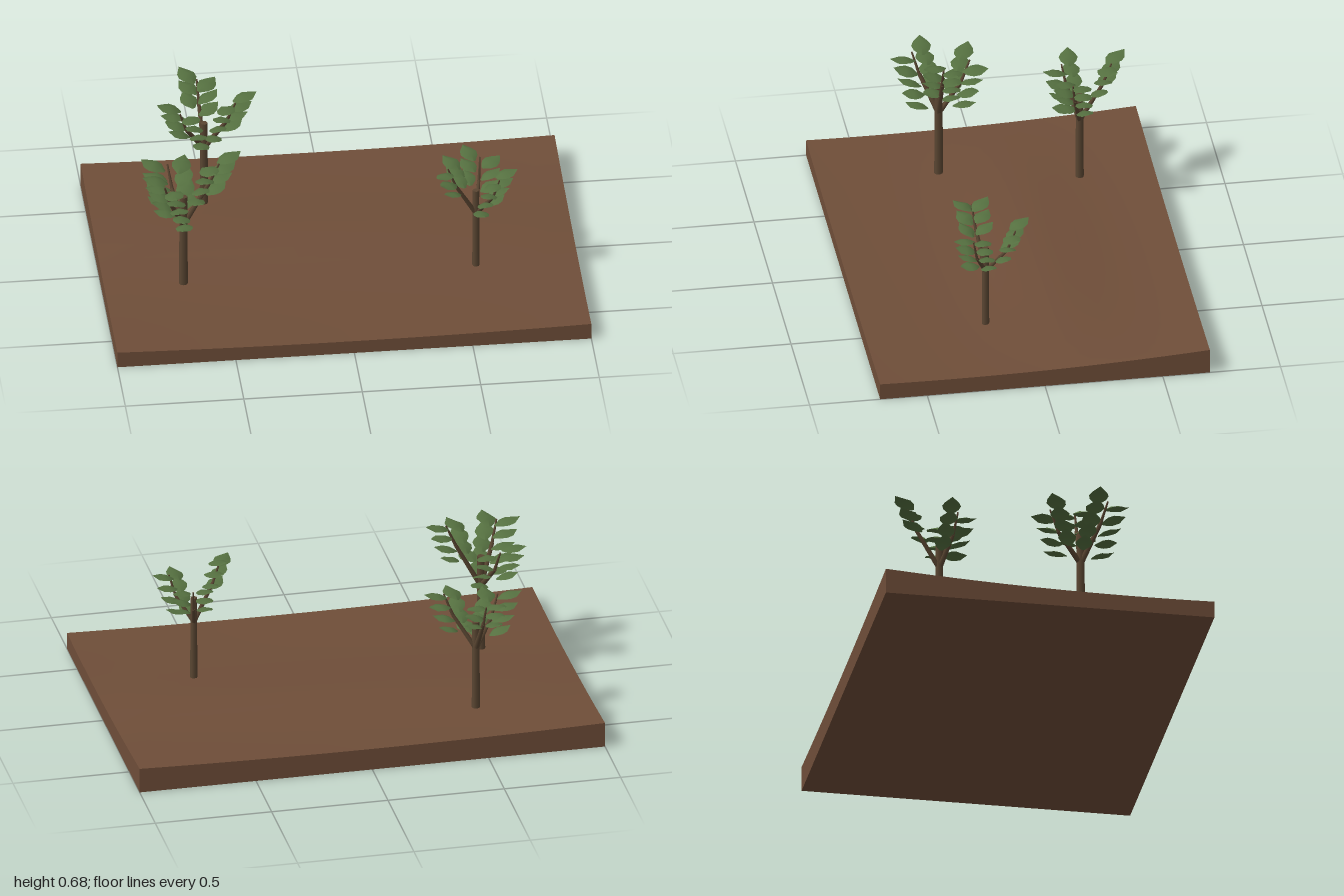
import * as THREE from 'three';

const mat = (name, color, extra = {}) =>
  Object.assign(new THREE.MeshStandardMaterial({ color, ...extra }), { name });

// Each clump pair: [x, z, x, z, top height, leaves per clump]
const TREES = [
  { x: -0.665, z: 0.19, base: 0.06, fork: 0.36, top: 0.5, r: 0.019, leaf: 1, boughs: [
    [-0.78, 0.065, -0.655, 0.035, 0.6, 4],
    [-0.47, 0.16, -0.56, 0.225, 0.68, 4],
    [-0.79, 0.245, -0.72, 0.335, 0.64, 5]] },
  { x: -0.515, z: -0.385, base: 0.06, fork: 0.36, top: 0.485, r: 0.018, leaf: 0.95, boughs: [
    [-0.57, -0.545, -0.49, -0.5, 0.64, 3],
    [-0.345, -0.37, -0.43, -0.305, 0.63, 4],
    [-0.665, -0.36, -0.58, -0.29, 0.6, 4]] },
  { x: 0.57, z: 0.185, base: 0.05, fork: 0.325, top: 0.44, r: 0.016, leaf: 0.88, boughs: [
    [0.555, 0.04, 0.645, 0.085, 0.55, 3],
    [0.695, 0.215, 0.63, 0.285, 0.55, 4],
    [0.465, 0.19, 0.43, 0.26, 0.605, 3]] },
];

// Rolling surface of the soil
function soilHeight(x, z) {
  return 0.07 + 0.033 * (0.4 - z) ** 2 - 0.014 * (1 - x * x)
    + 0.032 * Math.exp(-(((z + 0.1) / 0.25) ** 2)) * (1 - x * x);
}

function makeGround(material) {
  const geo = new THREE.BoxGeometry(2, 1, 1.4, 20, 1, 14);
  const p = geo.attributes.position;
  for (let i = 0; i < p.count; i++) {
    p.setY(i, p.getY(i) > 0 ? soilHeight(p.getX(i), p.getZ(i)) : 0);
  }
  geo.computeVertexNormals();
  const mesh = new THREE.Mesh(geo, material);
  mesh.name = 'ground';
  return mesh;
}

// Tapered round piece between two points
function limb(name, a, b, r0, r1, sides, material) {
  const dir = b.clone().sub(a);
  const mesh = new THREE.Mesh(new THREE.CylinderGeometry(r1, r0, dir.length(), sides), material);
  mesh.position.copy(a).add(b).multiplyScalar(0.5);
  mesh.quaternion.setFromUnitVectors(new THREE.Vector3(0, 1, 0), dir.normalize());
  mesh.name = name;
  return mesh;
}

// Pointed oval leaf along +z, folded at the midrib and cupped along its length
function makeLeafGeometry() {
  const halfWidths = [0.006, 0.034, 0.042, 0.031, 0];
  const rise = [-0.014, 0.002, 0.007, 0.004, 0.006];
  const pos = [], index = [];
  halfWidths.forEach((w, i) => {
    const z = -0.056 + i * 0.028;
    for (const s of [-1, 0, 1]) pos.push(s * w, rise[i] - Math.abs(s) * w * 0.32, z);
  });
  for (let i = 0; i < halfWidths.length - 1; i++) {
    for (let j = 0; j < 2; j++) {
      const a = i * 3 + j;
      index.push(a, a + 3, a + 1, a + 1, a + 3, a + 4);
    }
  }
  const geo = new THREE.BufferGeometry();
  geo.setAttribute('position', new THREE.Float32BufferAttribute(pos, 3));
  geo.setIndex(index);
  geo.computeVertexNormals();
  return geo;
}

function makeTree(t, bark, leafGeo, leafMat) {
  const tree = new THREE.Group();
  tree.name = 'tree';
  const V = (x, y, z) => new THREE.Vector3(x, y, z);
  tree.add(limb('trunk', V(t.x, t.base, t.z), V(t.x, t.top, t.z), t.r, t.r * 0.85, 8, bark));

  for (const [x1, z1, x2, z2, top, count] of t.boughs) {
    const mx = (x1 + x2) / 2, mz = (z1 + z2) / 2;
    const out = V(mx - t.x, 0, mz - t.z).normalize();
    const elbow = V(t.x + (mx - t.x) * 0.72, top - 0.12, t.z + (mz - t.z) * 0.72);
    tree.add(limb('branch', V(t.x, t.fork, t.z), elbow, t.r * 0.65, t.r * 0.45, 6, bark));
    tree.add(limb('twig', elbow, V(mx, top - 0.025, mz), t.r * 0.4, t.r * 0.2, 5, bark));

    // Leaves stacked on either side of the branch, the lower ones further in
    [[x1, z1], [x2, z2]].forEach(([cx, cz], side) => {
      const aim = V(cx - mx, 0, cz - mz).normalize().add(out);
      for (let k = 0; k < count; k++) {
        const leaf = new THREE.Mesh(leafGeo, leafMat);
        leaf.name = 'leaf';
        const inset = k * 0.018;
        leaf.position.set(cx - out.x * inset, top - 0.012 - k * 0.05 - side * 0.022, cz - out.z * inset);
        leaf.rotation.order = 'YXZ';
        leaf.rotation.y = Math.atan2(aim.x, aim.z) + 0.2 * Math.sin(k * 2.4 + side);
        leaf.rotation.x = -0.12 + 0.08 * Math.sin(k * 1.7 + side * 2);
        leaf.rotation.z = 0.12 * Math.sin(k * 3.1 + side * 1.3);
        leaf.scale.setScalar(t.leaf * (1 - 0.03 * k));
        tree.add(leaf);
      }
    });
  }
  return tree;
}

export function createModel() {
  const soil = mat('soil', 0x6f4e39);
  const bark = mat('bark', 0x5a4632);
  const foliage = mat('foliage', 0x557040, { side: THREE.DoubleSide });
  const model = new THREE.Group();
  model.name = 'orchardPlot';
  model.add(makeGround(soil));
  const leafGeo = makeLeafGeometry();
  for (const t of TREES) model.add(makeTree(t, bark, leafGeo, foliage));
  return model;
}
